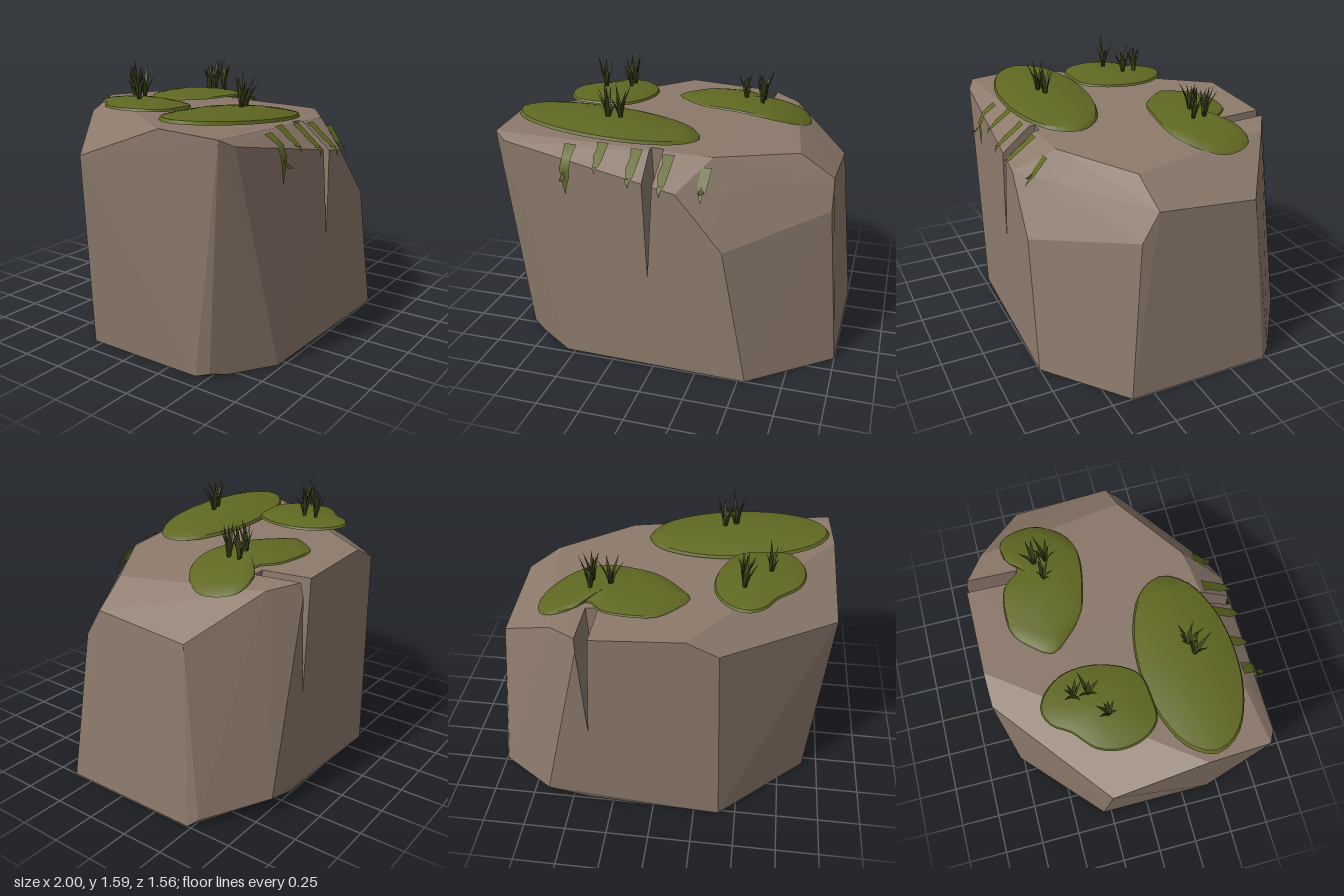
import * as THREE from 'three';
import { ConvexGeometry } from 'three/addons/geometries/ConvexGeometry.js';
import { toCreasedNormals } from 'three/addons/utils/BufferGeometryUtils.js';

const V = (x, y, z) => new THREE.Vector3(x, y, z);

function material(name, color, side = THREE.FrontSide) {
  const m = new THREE.MeshStandardMaterial({ color, side });
  m.name = name;
  return m;
}

// Small seeded generator for the grass
function seeded(seed) {
  return () => (seed = (seed * 16807) % 2147483647) / 2147483647;
}

function meshFrom(positions, index, mat, name) {
  const g = new THREE.BufferGeometry();
  g.setAttribute('position', new THREE.Float32BufferAttribute(positions, 3));
  g.setIndex(index);
  g.computeVertexNormals();
  const mesh = new THREE.Mesh(g, mat);
  mesh.name = name;
  return mesh;
}

// Corners of a convex solid's part on the positive side of a plane
function clip(points, plane) {
  const eps = 1e-5;
  const hull = new ConvexGeometry(points).attributes.position;
  const kept = new Map();
  const keep = (p) => kept.set(p.toArray().map((c) => Math.round(c * 5000)).join(), p);
  for (let i = 0; i < hull.count; i++) {
    const next = i % 3 === 2 ? i - 2 : i + 1;
    const a = V().fromBufferAttribute(hull, i), b = V().fromBufferAttribute(hull, next);
    const da = plane.distanceToPoint(a), db = plane.distanceToPoint(b);
    if (da > -eps) keep(a);
    if (da > eps && db < -eps) keep(a.clone().lerp(b, da / (da - db)));
  }
  return [...kept.values()];
}

// Cut a V-shaped crack out of a list of convex pieces
function cutCrack(pieces, tip, width, height, backZ) {
  const walls = [
    [V(height, width / 2, 0), tip],
    [V(-height, width / 2, 0), tip],
    [V(0, 0, Math.sign(tip.z)), V(0, 0, backZ)],
  ].map(([n, p]) => new THREE.Plane().setFromNormalAndCoplanarPoint(n.normalize(), p));
  const result = [];
  for (let piece of pieces) {
    for (const wall of walls) {
      const outside = clip(piece, wall.clone().negate());
      if (outside.length > 3) result.push(outside);
      piece = clip(piece, wall);
      if (piece.length < 4) break;
    }
  }
  return result;
}

// Domed patch of moss inside a closed outline of [x, z] points
function mossPatch(outline, base, dome, mat, name) {
  const n = 44;
  const curve = new THREE.CatmullRomCurve3(outline.map(([x, z]) => V(x, 0, z)), true);
  const rim = curve.getSpacedPoints(n).slice(0, n);
  const centre = rim.reduce((c, p) => c.add(p), V(0, 0, 0)).divideScalar(n);
  const rings = [[0, 0], [0.6, 0], [1, 0], [0.97, 0.3], [0.8, 0.55], [0.5, 0.85], [0.25, 0.97], [0, 1]];
  const pos = [], index = [];
  rings.forEach(([t, h], r) => rim.forEach((p, j) => {
    const q = centre.clone().lerp(p, t);
    pos.push(q.x, base(q.x) + h * dome, q.z);
    if (r === rings.length - 1) return;
    const a = r * n + j, b = r * n + (j + 1) % n;
    index.push(a, a + n, b, b, a + n, b + n);
  }));
  const mesh = meshFrom(pos, index, mat, name);
  mesh.geometry = toCreasedNormals(mesh.geometry, 0.7);
  return mesh;
}

// Tuft of thin, outward-bending blades
function grassTuft(x, y, z, rand, mat) {
  const pos = [], index = [];
  const blades = 7;
  for (let i = 0; i < blades; i++) {
    const a = (i + rand() * 0.7) / blades * Math.PI * 2;
    const lean = 0.03 + rand() * 0.06, h = 0.12 + rand() * 0.09, w = 0.011;
    const c = Math.cos(a), s = Math.sin(a), k = pos.length / 3;
    for (const [t, out, wide] of [[0, 0.08, 0.8], [0.5, 0.36, 1]]) {
      for (const side of [-1, 1]) {
        pos.push(c * lean * out - s * w * wide * side, h * t, s * lean * out + c * w * wide * side);
      }
    }
    pos.push(c * lean, h, s * lean);
    index.push(k, k + 1, k + 3, k, k + 3, k + 2, k + 2, k + 3, k + 4);
  }
  const mesh = meshFrom(pos, index, mat, 'grassTuft');
  mesh.position.set(x, y, z);
  return mesh;
}

// Tapering strand hanging over the bevelled front edge, with a small leaf
function hangingMoss(x, top, bottom, edge, mat, leafMat) {
  const [y0, z0, y1, z1] = edge;
  const depth = (y) => z0 + Math.min(1, (y0 - y) / (y0 - y1)) * (z1 - z0) + 0.022;
  const pos = [], index = [];
  const rows = [[0, 0.035, 0], [0.2, 0.027, 0.004], [0.45, 0.029, -0.002], [0.65, 0.02, 0.003], [0.8, 0.012, -0.003], [1, 0.001, 0]];
  rows.forEach(([t, w, shift], r) => {
    const y = top + (bottom - top) * t;
    pos.push(x + shift - w, y, depth(y), x + shift + w, y, depth(y));
    const k = r * 2;
    if (r) index.push(k - 2, k, k - 1, k - 1, k, k + 1);
  });
  const group = new THREE.Group();
  group.name = 'hangingMoss';
  group.add(meshFrom(pos, index, mat, 'strand'));
  const ly = top + (bottom - top) * 0.5, lz = depth(ly);
  group.add(meshFrom(
    [x - 0.006, ly, lz, x - 0.02, ly - 0.035, lz + 0.035, x + 0.018, ly - 0.03, lz + 0.035, x, ly - 0.035, lz + 0.06],
    [0, 1, 2, 1, 3, 2], leafMat, 'leaf'));
  return group;
}

export function createModel() {
  const model = new THREE.Group();
  model.name = 'mossyRock';
  const stone = material('stone', 0x8c796b);
  const moss = material('moss', 0x606822, THREE.DoubleSide);
  const grass = material('grass', 0x3e4519, THREE.DoubleSide);

  // Faceted boulder corners: base, right side, front bevel, top and back
  const corners = [
    [1, 0, 0.38], [0.54, 0, 0.75], [-0.55, 0, 0.725], [-0.79, 0, 0.56], [-0.875, 0.02, 0.5],
    [-0.907, 0, 0.43], [-0.907, 0, -0.3], [-0.4, 0, -0.77], [0.4, 0, -0.74], [1, 0, -0.475],
    [0.97, 0.04, -0.525], [0.64, 0.1, -0.78], [0.915, 0.9, 0.29], [0.91, 1.06, 0.19], [0.91, 1.01, -0.4],
    [0.39, 0.775, 0.73], [0.125, 1.08, 0.715], [-0.88, 1.27, 0.665],
    [-0.955, 1.31, 0.62], [0.28, 1.23, 0.5], [0.715, 1.2, 0.215], [0.56, 1.25, -0.66],
    [0.38, 1.278, -0.785], [-0.185, 1.315, -0.785], [-0.975, 1.33, 0.27],
    [-1, 1.13, -0.26], [-0.36, 1.235, -0.785],
  ].map((p) => V(...p));
  let pieces = [corners];
  pieces = cutCrack(pieces, V(-0.034, 0.57, 0.7), 0.075, 0.68, 0.5);
  pieces = cutCrack(pieces, V(0.365, 0.62, -0.7), 0.075, 0.66, -0.48);
  const rock = new THREE.Group();
  rock.name = 'rock';
  for (const piece of pieces) {
    const mesh = new THREE.Mesh(new ConvexGeometry(piece), stone);
    mesh.name = 'rockPiece';
    rock.add(mesh);
  }
  model.add(rock);

  // Moss patches lying on the top
  const oval = Array.from({ length: 12 }, (_, i) => {
    const a = i / 12 * Math.PI * 2;
    return [-0.395 + 0.55 * Math.cos(a), 0.32 + 0.275 * Math.sin(a)];
  });
  const leftBack = [[-0.5, -0.53], [-0.42, -0.51], [-0.32, -0.4], [-0.29, -0.26], [-0.32, -0.1], [-0.41, 0.04],
    [-0.56, 0.07], [-0.69, 0.065], [-0.77, -0.02], [-0.8, -0.16], [-0.76, -0.29], [-0.64, -0.4], [-0.58, -0.49]];
  const rightBack = [[-0.17, -0.39], [-0.1, -0.5], [-0.01, -0.58], [0.1, -0.6], [0.29, -0.57], [0.39, -0.47],
    [0.47, -0.53], [0.62, -0.535], [0.68, -0.45], [0.69, -0.32], [0.62, -0.21], [0.51, -0.13],
    [0.38, -0.105], [0.19, -0.13], [0.03, -0.18], [-0.1, -0.29]];
  model.add(
    mossPatch(oval, (x) => 1.31 - 0.085 * (x + 0.4), 0.06, moss, 'frontMoss'),
    mossPatch(leftBack, (x) => 1.345 - 0.05 * (x + 0.53), 0.045, moss, 'leftBackMoss'),
    mossPatch(rightBack, (x) => 1.31 - 0.45 * Math.max(0, x - 0.2) ** 2, 0.035, moss, 'rightBackMoss'),
  );

  // Grass tufts
  const rand = seeded(77);
  for (const [x, y, z] of [
    [-0.6, 1.38, -0.18], [-0.46, 1.38, -0.34], [-0.46, 1.38, -0.26], [-0.38, 1.35, 0.36],
    [-0.31, 1.35, 0.34], [0.28, 1.33, -0.34], [0.39, 1.32, -0.37], [0.39, 1.32, -0.3],
  ]) model.add(grassTuft(x, y, z, rand, grass));

  // Strands over the front edge: x, top, bottom, then the bevel's upper and lower [y, z]
  for (const [x, top, bottom, edge] of [
    [-0.505, 1.27, 1.01, [1.28, 0.576, 1.2, 0.69]],
    [-0.33, 1.28, 1.15, [1.27, 0.56, 1.166, 0.695]],
    [-0.135, 1.26, 1.09, [1.257, 0.543, 1.13, 0.705]],
    [0.045, 1.24, 1.06, [1.245, 0.523, 1.095, 0.715]],
    [0.255, 1.19, 1.03, [1.23, 0.51, 0.95, 0.725]],
  ]) model.add(hangingMoss(x, top, bottom, edge, moss, grass));

  return model;
}
